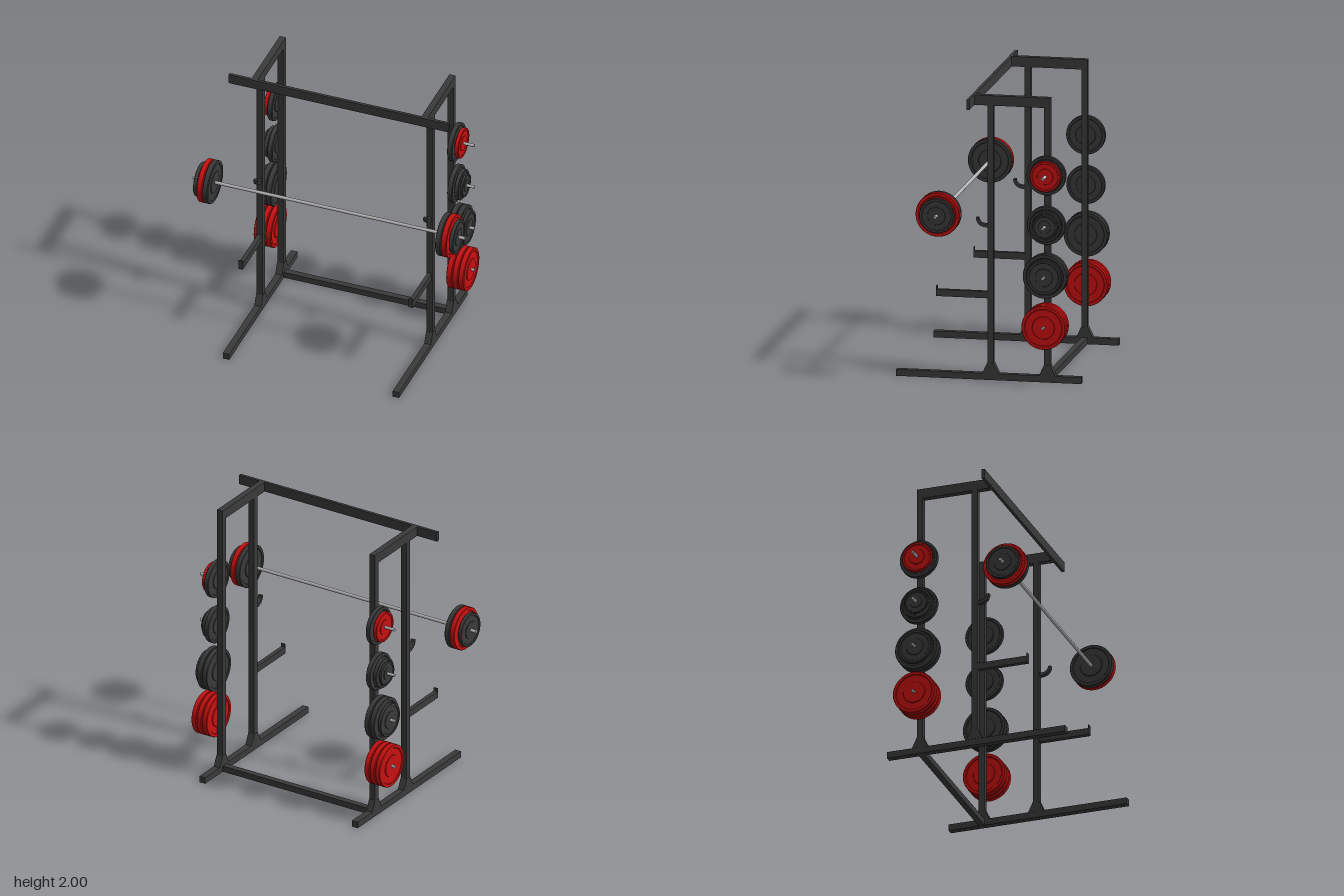
import * as THREE from 'three';
import { toCreasedNormals } from 'three/addons/utils/BufferGeometryUtils.js';

const dark = new THREE.MeshStandardMaterial({ color: 0x3a3a3a });
const red = new THREE.MeshStandardMaterial({ color: 0xc81010 });
const steel = new THREE.MeshStandardMaterial({ color: 0xb4b4b4 });

const POST_X = 0.625, TUBE = 0.045, FRONT_Z = -0.012, REAR_Z = -0.41;

export function createModel() {
  const model = new THREE.Group();

  const add = (name, geometry, material, parent = model) => {
    const mesh = new THREE.Mesh(geometry, material);
    mesh.name = name;
    parent.add(mesh);
    return mesh;
  };

  // Box given by its lower and upper corner
  const box = (name, [x0, y0, z0], [x1, y1, z1], parent) => {
    const g = new THREE.BoxGeometry(x1 - x0, y1 - y0, z1 - z0);
    g.translate((x0 + x1) / 2, (y0 + y1) / 2, (z0 + z1) / 2);
    return add(name, g, dark, parent);
  };

  // Box of width w centred on a side's upright line, over a y and z range
  const sideBox = (name, x, w, y0, y1, z0, z1, parent) =>
    box(name, [x - w / 2, y0, z0], [x + w / 2, y1, z1], parent);

  // Outline in (z, y), extruded across x to width w
  const sidePlate = (name, shape, x, w, parent) => {
    const g = new THREE.ExtrudeGeometry(shape, { depth: w, bevelEnabled: false, curveSegments: 10 });
    g.translate(0, 0, -w / 2);
    g.rotateY(-Math.PI / 2);
    g.translate(x, 0, 0);
    return add(name, toCreasedNormals(g, 0.6), dark, parent);
  };

  // Round rod along x
  const rod = (name, x0, x1, y, z, r, parent) => {
    const g = new THREE.CylinderGeometry(r, r, Math.abs(x1 - x0), 16);
    g.rotateZ(Math.PI / 2);
    const mesh = add(name, g, steel, parent);
    mesh.position.set((x0 + x1) / 2, y, z);
  };

  // Weight plate: raised rim and hub around a shallow recess on both faces
  const weight = (side, [x0, x1, r, material], y, z, parent) => {
    const h = (x1 - x0) / 2, b = 0.003, d = 0.005;
    const half = [
      [r, h - b], [r - b, h], [r * 0.86, h], [r * 0.83, h - d],
      [r * 0.52, h - d], [r * 0.5, h], [0, h],
    ];
    const profile = [
      ...half.map(([px, py]) => new THREE.Vector2(px, -py)).reverse(),
      ...half.map(([px, py]) => new THREE.Vector2(px, py)),
    ];
    const g = new THREE.LatheGeometry(profile, 40);
    g.rotateZ(-Math.PI / 2);
    const mesh = add('weightPlate', toCreasedNormals(g, 0.5), material, parent);
    mesh.position.set(side * (x0 + x1) / 2, y, z);
  };

  // Plates stored on each peg: [inner x, outer x, radius, material]
  const storage = [
    [0.41, [[0.645, 0.684, 0.154, red], [0.69, 0.728, 0.154, red], [0.734, 0.772, 0.154, red]]],
    [0.76, [[0.645, 0.684, 0.154, dark], [0.69, 0.728, 0.154, dark], [0.734, 0.76, 0.122, dark]]],
    [1.11, [[0.645, 0.68, 0.135, dark], [0.687, 0.716, 0.11, dark], [0.718, 0.738, 0.085, dark]]],
    [1.46, [[0.645, 0.68, 0.137, dark], [0.687, 0.716, 0.108, red]]],
  ];
  const barPlates = [[0.838, 0.875, 0.154, dark], [0.88, 0.918, 0.154, red], [0.927, 0.956, 0.122, dark]];

  const barbell = new THREE.Group();
  barbell.name = 'barbell';
  model.add(barbell);
  rod('bar', -1, 1, 1.205, 0.303, 0.012, barbell);

  for (const side of [-1, 1]) {
    const x = side * POST_X;
    const frame = new THREE.Group();
    frame.name = side > 0 ? 'leftFrame' : 'rightFrame';
    model.add(frame);

    // Foot, uprights and top beam
    sideBox('foot', x, TUBE + 0.002, 0, 0.046, -0.65, 0.65, frame);
    for (const z of [FRONT_Z, REAR_Z]) {
      sideBox('upright', x, TUBE, 0.046, 1.93, z - 0.021, z + 0.021, frame);
      const gusset = new THREE.Shape();
      gusset.moveTo(z - 0.058, 0.045);
      gusset.lineTo(z + 0.058, 0.045);
      gusset.lineTo(z + 0.022, 0.122);
      gusset.lineTo(z - 0.022, 0.122);
      gusset.closePath();
      sidePlate('gusset', gusset, x, TUBE + 0.004, frame);
    }
    sideBox('topBeam', x, TUBE, 1.93, 2, REAR_Z - 0.021, 0.102, frame);

    // Safety arm with an upturned tip
    sideBox('safetyArm', x, 0.032, 0.572, 0.62, FRONT_Z, 0.365, frame);
    sideBox('safetyArmTip', x, 0.032, 0.572, 0.645, 0.365, 0.371, frame);

    // Curved hook for the bar
    const hook = new THREE.Shape();
    hook.moveTo(0, 1.069);
    hook.lineTo(0.03, 1.071);
    hook.quadraticCurveTo(0.088, 1.08, 0.092, 1.137);
    hook.lineTo(0.072, 1.137);
    hook.quadraticCurveTo(0.07, 1.1, 0.032, 1.095);
    hook.lineTo(0, 1.095);
    hook.closePath();
    sidePlate('barHook', hook, x, 0.03, frame);

    // Storage pegs and their plates
    for (const [y, plates] of storage) {
      rod('storagePeg', side * 0.63, side * 0.796, y + 0.001, REAR_Z + 0.001, 0.011, frame);
      for (const p of plates) weight(side, p, y, REAR_Z + 0.001, frame);
    }

    for (const p of barPlates) weight(side, p, 1.205, 0.303, barbell);
  }

  // Cross members
  box('frontCrossbar', [-0.811, 1.93, 0.1], [0.811, 2, 0.121]);
  box('rearFloorBar', [-0.605, 0.002, REAR_Z - 0.022], [0.605, 0.046, REAR_Z + 0.022]);

  return model;
}
